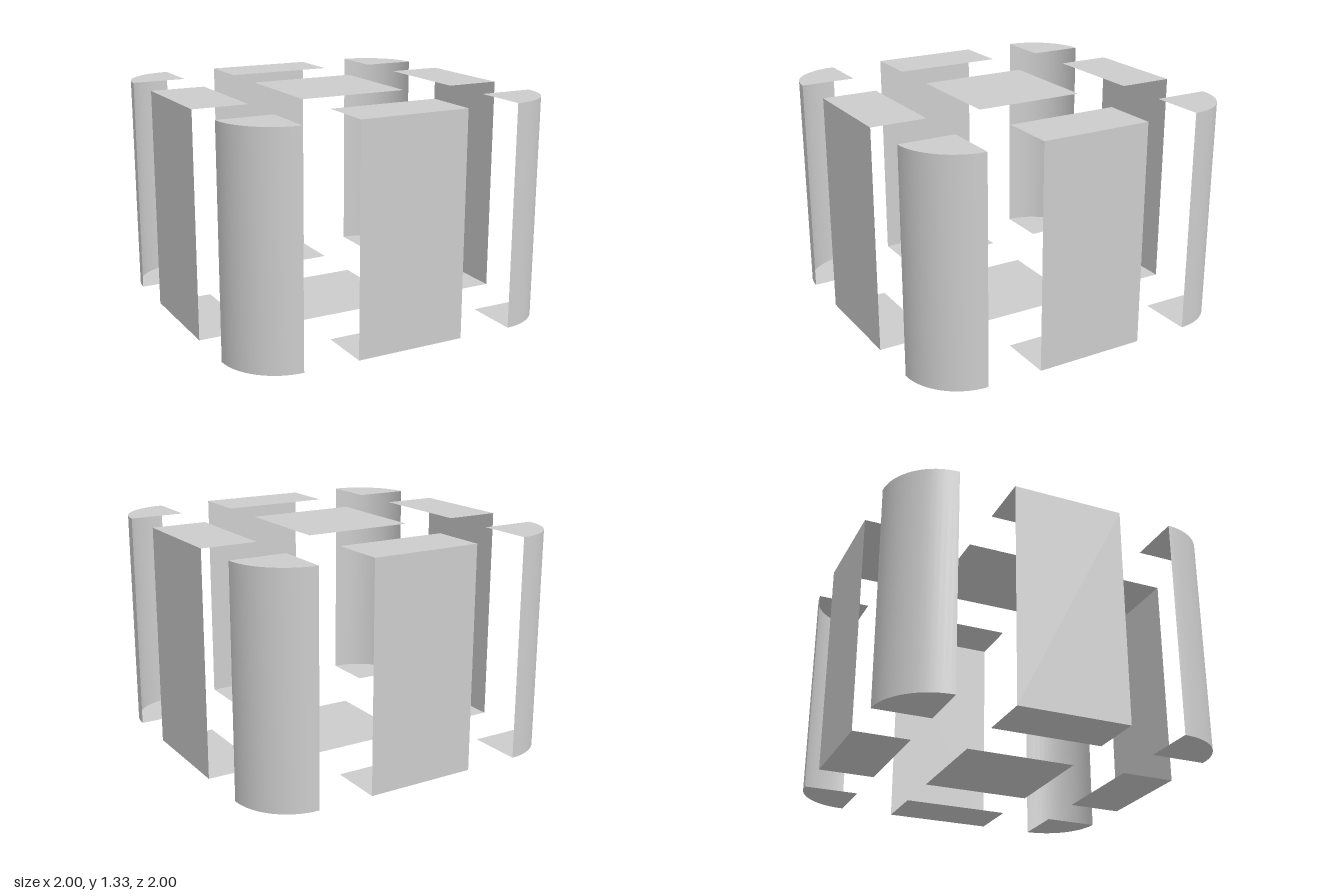
import * as THREE from 'three';

const T = 1 / 3;        // grid third: corner radius, plate depth, half panel width
const H = 4 / 3;        // overall height

export function createModel() {
  const model = new THREE.Group();
  model.name = 'segmentedShell';
  const grey = new THREE.MeshStandardMaterial({ color: 0xcccccc, side: THREE.DoubleSide });
  grey.name = 'light grey';

  const add = (parent, name, geometry) => {
    const mesh = new THREE.Mesh(geometry, grey);
    mesh.name = name;
    parent.add(mesh);
    return mesh;
  };

  // matching horizontal plates at the top and the bottom, facing outward
  const addPlates = (parent, name, depth, z) => {
    for (const [level, y, tilt] of [['Top', H, -1], ['Bottom', 0, 1]]) {
      const plate = add(parent, name + level, new THREE.PlaneGeometry(2 * T, depth));
      plate.rotation.x = tilt * Math.PI / 2;
      plate.position.set(0, y, z);
    }
  };

  // one open side bracket and one rounded corner per quarter turn
  for (let i = 0; i < 4; i++) {
    const quarter = new THREE.Group();
    quarter.name = 'quarter' + (i + 1);
    quarter.rotation.y = i * Math.PI / 2;

    const wall = add(quarter, 'sideWall', new THREE.PlaneGeometry(2 * T, H));
    wall.position.set(0, H / 2, 1);
    addPlates(quarter, 'sidePlate', T, 1 - T / 2);

    // curved wall with sector caps, open on its two inner sides
    const corner = add(quarter, 'roundedCorner',
      new THREE.CylinderGeometry(T, T, H, 16, 1, false, 0, Math.PI / 2));
    corner.position.set(2 * T, H / 2, 2 * T);
    model.add(quarter);
  }

  // floating square plates in the middle
  addPlates(model, 'centrePlate', 2 * T, 0);
  return model;
}
